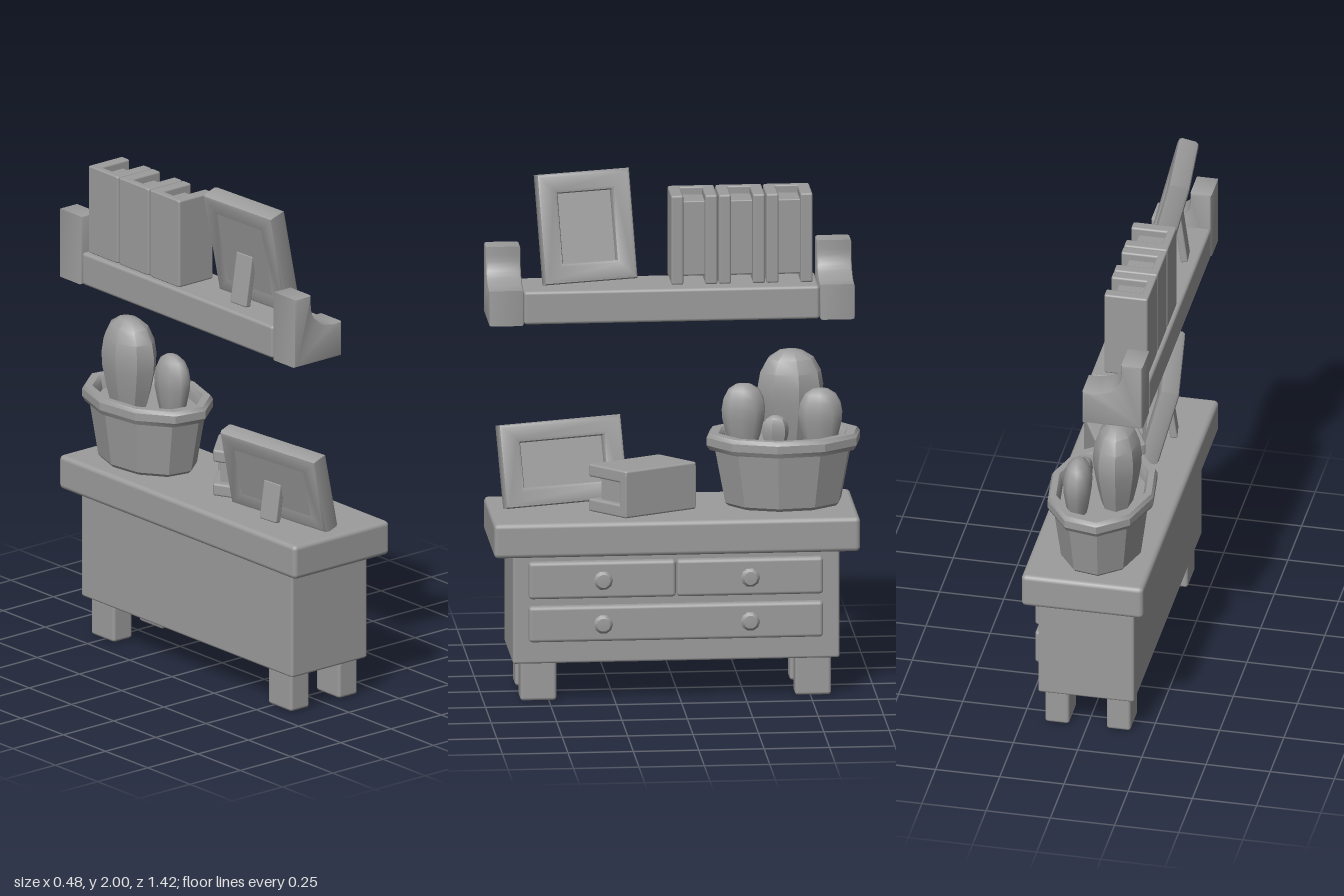
import * as THREE from 'three';
import { toCreasedNormals } from 'three/addons/utils/BufferGeometryUtils.js';
import { RoundedBoxGeometry } from 'three/addons/geometries/RoundedBoxGeometry.js';

const clay = new THREE.MeshStandardMaterial({ color: 0x9c9c9c });
clay.name = 'clay grey';
const deg = THREE.MathUtils.degToRad;

function add(parent, name, geometry, x = 0, y = 0, z = 0) {
  const mesh = new THREE.Mesh(geometry, clay);
  mesh.name = name;
  mesh.position.set(x, y, z);
  parent.add(mesh);
  return mesh;
}

// Rounded box given by its limits on each axis
function block(parent, name, [x0, x1], [y0, y1], [z0, z1], r = 0.012) {
  const geo = new RoundedBoxGeometry(x1 - x0, y1 - y0, z1 - z0, 2, r);
  return add(parent, name, geo, (x0 + x1) / 2, (y0 + y1) / 2, (z0 + z1) / 2);
}

function lathe(points, sides, start = 0, crease = 0.6) {
  const geo = new THREE.LatheGeometry(points.map(p => new THREE.Vector2(...p)), sides, start);
  return toCreasedNormals(geo, crease);
}

function group(parent, name) {
  const g = new THREE.Group();
  g.name = name;
  parent.add(g);
  return g;
}

// Cabinet with two small drawers over one wide drawer, facing +x
function buildCabinet(root) {
  const g = group(root, 'cabinet');
  block(g, 'cabinetTop', [-0.24, 0.235], [0.575, 0.71], [-0.685, 0.715], 0.018);
  block(g, 'cabinetBody', [-0.19, 0.185], [0.15, 0.59], [-0.61, 0.64], 0.01);
  for (const x of [-0.122, 0.117])
    for (const z of [0.54, -0.51])
      block(g, 'leg', [x - 0.047, x + 0.047], [0, 0.16], [z - 0.069, z + 0.069], 0.012);
  block(g, 'drawerTopLeft', [0.17, 0.211], [0.407, 0.552], [0.018, 0.58], 0.014);
  block(g, 'drawerTopRight', [0.17, 0.211], [0.407, 0.552], [-0.545, 0.014], 0.014);
  block(g, 'drawerBottom', [0.17, 0.211], [0.238, 0.378], [-0.545, 0.58], 0.014);
  const knob = lathe([[0.018, 0], [0.02, 0.008], [0.037, 0.01], [0.037, 0.018], [0.026, 0.03], [0, 0.032]], 10);
  knob.rotateZ(-Math.PI / 2);
  for (const y of [0.48, 0.308])
    for (const z of [0.297, -0.265]) add(g, 'knob', knob, 0.204, y, z);
}

// Wall shelf with a scooped bracket at each end
function buildShelf(root) {
  const g = group(root, 'shelf');
  block(g, 'shelfBoard', [-0.238, -0.006], [1.432, 1.562], [-0.55, 0.58], 0.012);
  const b = 0.01;
  const s = new THREE.Shape();
  s.moveTo(-0.238 + b, 1.43 + b);
  s.lineTo(-0.003 - b, 1.43 + b);
  s.lineTo(-0.003 - b, 1.568 - b);
  s.lineTo(-0.045, 1.568 - b);
  s.quadraticCurveTo(-0.155 - b, 1.57, -0.155 - b, 1.67);
  s.lineTo(-0.155 - b, 1.705 - b);
  s.lineTo(-0.238 + b, 1.705 - b);
  const geo = new THREE.ExtrudeGeometry(s, {
    depth: 0.135 - 2 * b, bevelThickness: b, bevelSize: b, bevelSegments: 2, curveSegments: 8
  });
  const bracket = toCreasedNormals(geo, 0.7);
  add(g, 'bracketLeft', bracket, 0, 0, 0.58 + b);
  add(g, 'bracketRight', bracket, 0, 0, -0.685 + b);
}

// Book standing upright, spine at -x, centred on its origin, then moved by a matrix
const BOOK = { depth: 0.17, height: 0.35, thick: 0.177 };
function buildBook(root, matrix) {
  const g = group(root, 'book');
  const { depth: d, height: h, thick: t } = BOOK;
  const c = 0.047;
  const part = (name, w, ph, pt, x, z, r) => {
    const geo = new RoundedBoxGeometry(w, ph, pt, 2, r);
    geo.translate(x, 0, z).applyMatrix4(matrix);
    add(g, name, geo);
  };
  for (const s of [-1, 1]) part('cover', d, h, c, 0, s * (t - c) / 2, 0.008);
  part('spine', 0.03, h, t - 0.02, -d / 2 + 0.015, 0, 0.006);
  part('pages', d - 0.045, h - 0.06, t - c, -0.008, 0, 0.004);
}

// Leaning picture frame with a recessed picture and a rear prop
function buildFrame(root, name, [w, h, t], [ow, oh], tilt, yaw, roll, pos) {
  const g = group(root, name);
  const b = 0.014;
  const rect = (Type, hw, hh) => new Type([
    new THREE.Vector2(-hw, -hh), new THREE.Vector2(hw, -hh),
    new THREE.Vector2(hw, hh), new THREE.Vector2(-hw, hh)
  ]);
  const s = rect(THREE.Shape, w / 2 - b, h / 2 - b);
  s.holes.push(rect(THREE.Path, ow / 2, oh / 2));
  const geo = new THREE.ExtrudeGeometry(s, {
    depth: t - 2 * b, bevelThickness: b, bevelSize: b, bevelSegments: 2
  });
  geo.translate(0, 0, -t / 2 + b).rotateY(Math.PI / 2);
  add(g, 'frameBorder', toCreasedNormals(geo, 0.7));
  add(g, 'picture', new THREE.BoxGeometry(t * 0.55, oh + 0.01, ow + 0.01), -t * 0.22, 0, 0);
  // Prop runs from the middle of the back down to the surface
  const a = -deg(tilt + 8), len = h * 0.48;
  const prop = add(g, 'prop', new RoundedBoxGeometry(0.028, len, 0.085, 2, 0.006),
    -t / 2 + 0.012 + Math.sin(a) * len / 2, -Math.cos(a) * len / 2, 0);
  prop.rotation.z = a;
  g.rotation.set(deg(roll), deg(yaw), deg(tilt), 'YZX');
  g.position.set(...pos);
}

// Oval ten-sided pot holding four rounded cacti
function buildPlant(root) {
  const g = group(root, 'pottedCactus');
  const pot = lathe([
    [0, 0], [0.215, 0], [0.228, 0.012], [0.268, 0.22], [0.29, 0.222], [0.302, 0.24],
    [0.302, 0.27], [0.29, 0.285], [0.255, 0.285], [0.243, 0.27], [0.235, 0.235], [0, 0.235]
  ], 10, deg(10.5), 0.55);
  const m = add(g, 'pot', pot, -0.025, 0.711, -0.412);
  m.scale.x = 0.69;
  const profile = [[0.62, 0], [0.8, 0.2], [0.97, 0.45], [1, 0.6], [0.92, 0.76], [0.7, 0.9], [0.35, 0.98], [0, 1]];
  const cactus = (name, x, z, r, top, sides, rx, crease) => {
    const base = 0.935;
    const geo = lathe(profile.map(([pr, py]) => [pr * r, py * (top - base)]), sides, 0.2, crease);
    add(g, name, geo, x, base, z).scale.x = rx / r;
  };
  cactus('cactusTall', -0.09, -0.445, 0.13, 1.3, 8, 0.092, 0.7);
  cactus('cactusLeft', -0.03, -0.26, 0.086, 1.183, 10, 0.056, 1);
  cactus('cactusRight', 0.042, -0.548, 0.087, 1.176, 10, 0.055, 1);
  cactus('cactusSmall', 0.054, -0.375, 0.053, 1.075, 6, 0.035, 0.8);
}

export function createModel() {
  const root = new THREE.Group();
  root.name = 'cabinetAndShelf';
  buildCabinet(root);
  buildShelf(root);
  buildPlant(root);

  // Three upright books on the shelf
  for (let i = 0; i < 3; i++)
    buildBook(root, new THREE.Matrix4().makeTranslation(-0.14, 1.74, -0.075 - i * 0.182));

  // One skewed book lying on the cabinet
  const lying = new THREE.Matrix4().makeBasis(
    new THREE.Vector3(-0.14, 0, 0.133).divideScalar(BOOK.depth),
    new THREE.Vector3(0.135, 0, 0.282).divideScalar(BOOK.height),
    new THREE.Vector3(0, 0.185, 0).divideScalar(BOOK.thick)
  ).setPosition(0.0425, 0.803, 0.1325);
  buildBook(root, lying);

  buildFrame(root, 'portraitFrame', [0.36, 0.422, 0.082], [0.235, 0.295], 14, 5.6, 2, [-0.133, 1.783, 0.334]);
  buildFrame(root, 'landscapeFrame', [0.48, 0.32, 0.075], [0.35, 0.2], 15, 8.5, 2, [-0.08, 0.876, 0.43]);
  return root;
}
